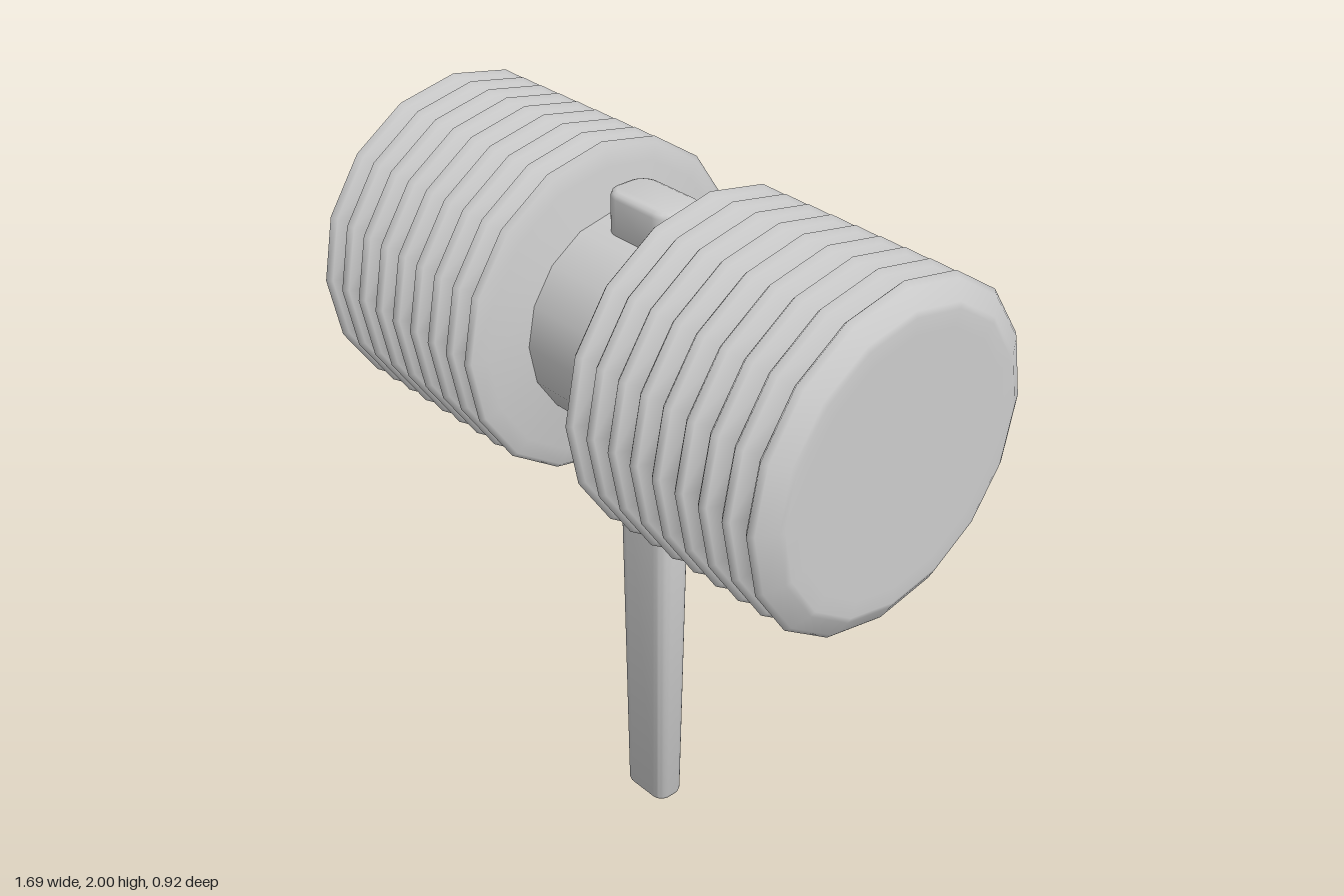
import * as THREE from 'three';
import { toCreasedNormals } from 'three/addons/utils/BufferGeometryUtils.js';

const AXIS_Y = 1.54; // height of the head's axis
const SIDES = 16;
const material = new THREE.MeshStandardMaterial({ color: 0xcccccc });

function part(name, geometry) {
  const mesh = new THREE.Mesh(geometry, material);
  mesh.name = name;
  return mesh;
}

// Upright bar with rounded-rectangle section and softened ends, tapering from bottom to top
function roundedBar(halfX, halfZ, corner, y0, y1, bevel, bottomX = 1, bottomZ = 1) {
  const w = halfX - bevel, d = halfZ - bevel, r = corner - bevel;
  const s = new THREE.Shape();
  s.moveTo(-w + r, -d);
  s.lineTo(w - r, -d);
  s.absarc(w - r, -d + r, r, -Math.PI / 2, 0);
  s.absarc(w - r, d - r, r, 0, Math.PI / 2);
  s.absarc(-w + r, d - r, r, Math.PI / 2, Math.PI);
  s.absarc(-w + r, -d + r, r, Math.PI, Math.PI * 1.5);
  const g = new THREE.ExtrudeGeometry(s, {
    depth: y1 - y0 - 2 * bevel, curveSegments: 4,
    bevelEnabled: true, bevelSize: bevel, bevelThickness: bevel, bevelSegments: 2,
  });
  g.rotateX(-Math.PI / 2);
  g.translate(0, y0 + bevel, 0);
  const p = g.attributes.position;
  for (let i = 0; i < p.count; i++) {
    const t = (p.getY(i) - y0) / (y1 - y0);
    p.setX(i, p.getX(i) * THREE.MathUtils.lerp(bottomX, 1, t));
    p.setZ(i, p.getZ(i) * THREE.MathUtils.lerp(bottomZ, 1, t));
  }
  return toCreasedNormals(g, 0.9);
}

// Ribbed drum: profile runs outward along the axis from the neck to the end cap
function drumGeometry() {
  const peaks = 9, first = 0.195, pitch = 0.0757;
  const pts = [[0.283, 0.155], [0.4, 0.174]];
  for (let i = 0; i < peaks; i++) {
    const c = first + i * pitch;
    pts.push([0.446, c - 0.013], [0.459, c], [0.446, c + 0.013]);
    if (i < peaks - 1) pts.push([0.39, c + pitch / 2]);
  }
  pts.push([0.4, 0.841], [0.385, 0.846], [0.34, 0.846], [0, 0.846]);
  const g = new THREE.LatheGeometry(pts.map(([r, a]) => new THREE.Vector2(r, a)), SIDES);
  return g.rotateZ(-Math.PI / 2);
}

export function createModel() {
  const group = new THREE.Group();
  group.name = 'mallet';

  // Ribbed drums on both ends of the head
  const drum = drumGeometry();
  for (const [name, turn] of [['leftDrum', 0], ['rightDrum', Math.PI]]) {
    const mesh = part(name, drum);
    mesh.position.y = AXIS_Y;
    mesh.rotation.y = turn;
    group.add(mesh);
  }

  // Neck joining the drums
  const neck = new THREE.CylinderGeometry(0.285, 0.285, 0.316, SIDES, 1, true);
  neck.rotateZ(-Math.PI / 2);
  const neckMesh = part('neck', neck);
  neckMesh.position.y = AXIS_Y;
  group.add(neckMesh);

  // Tapered handle, and the peg end that shows above the neck
  group.add(part('handle', roundedBar(0.101, 0.059, 0.045, 0, 1.29, 0.01, 0.79, 0.81)));
  group.add(part('handlePeg', roundedBar(0.115, 0.07, 0.05, 1.79, 1.922, 0.015)));
  return group;
}
